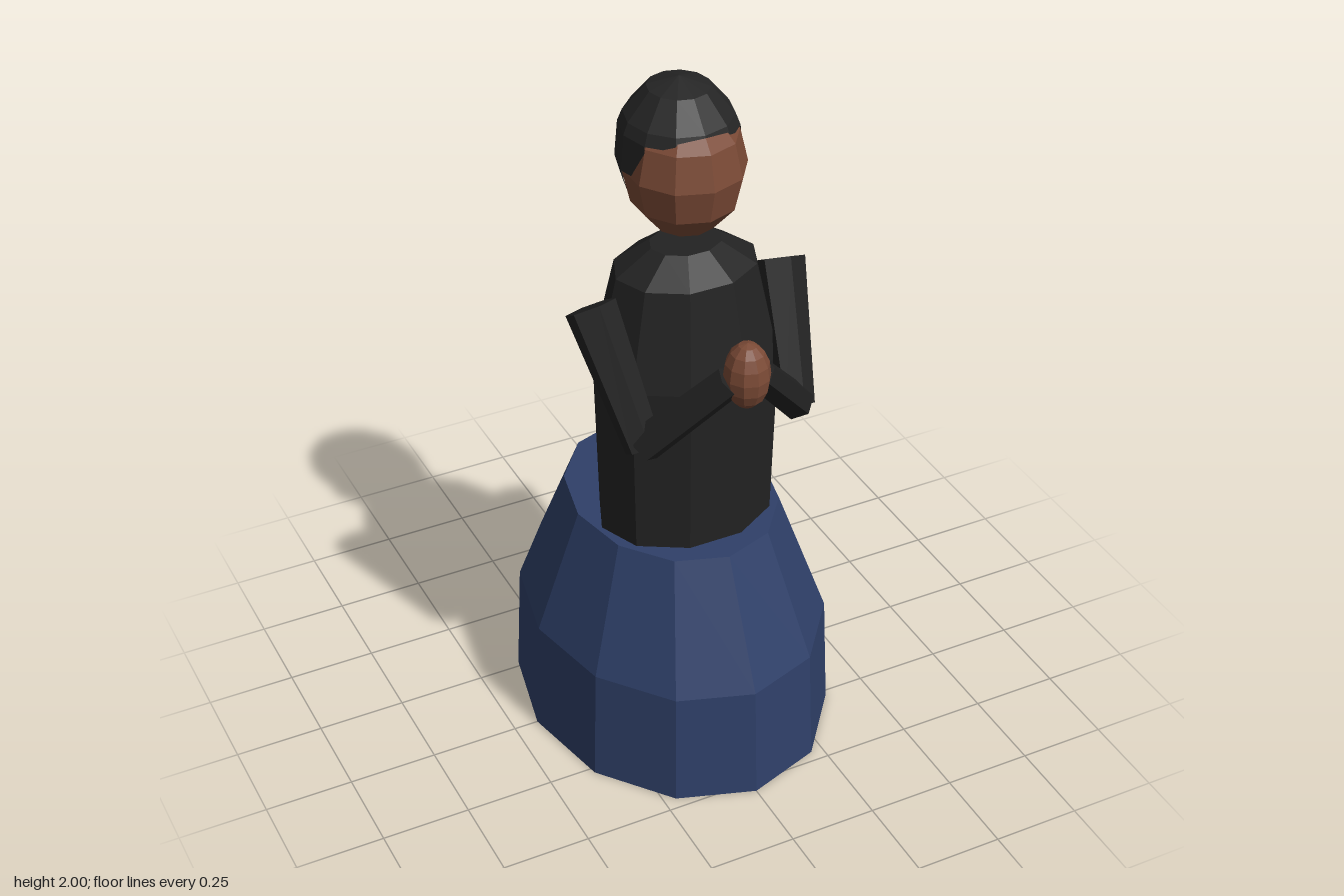
import * as THREE from 'three';

const flat = (name, color, extra = {}) => {
  const m = new THREE.MeshStandardMaterial({ color, flatShading: true, ...extra });
  m.name = name;
  return m;
};

export function createModel() {
  const group = new THREE.Group();
  const blue = flat('skirtBlue', 0x2f4069);
  const black = flat('blouseBlack', 0x222222);
  const hairBlack = flat('hairBlack', 0x252525, { side: THREE.DoubleSide });
  const skin = flat('skinBrown', 0x7b4a36);

  const add = (name, geometry, material, x = 0, y = 0, z = 0) => {
    const mesh = new THREE.Mesh(geometry, material);
    mesh.name = name;
    mesh.position.set(x, y, z);
    group.add(mesh);
    return mesh;
  };
  // Faceted elliptical body turned from a [radius, height] profile
  const turned = (profile, sides, depth, start = 0) =>
    new THREE.LatheGeometry(profile.map(([r, y]) => new THREE.Vector2(r, y)), sides, start)
      .scale(1, 1, depth);
  const ball = (rx, ry, rz, sides, rows) =>
    new THREE.SphereGeometry(1, sides, rows).rotateY(Math.PI / 2).scale(rx, ry, rz);

  // Wide oval skirt and narrower torso
  add('skirt', turned([[0, 0], [0.43, 0], [0.415, 0.34], [0.285, 0.7], [0, 0.7]], 12, 1.25), blue);
  add('torso', turned([[0, 0.69], [0.252, 0.69], [0.266, 1.2], [0.2, 1.48], [0.1, 1.545], [0, 1.545]],
    10, 0.79, Math.PI / 2), black, 0, 0, 0.085);

  // Arms bent forward, meeting at the clasped hands
  const limb = (name, from, to, r0, r1) => {
    const a = new THREE.Vector3(...from), b = new THREE.Vector3(...to);
    const dir = a.clone().sub(b);
    const mesh = add(name, new THREE.CylinderGeometry(r0, r1, dir.length(), 6), black);
    mesh.position.copy(a).add(b).multiplyScalar(0.5);
    mesh.quaternion.setFromUnitVectors(new THREE.Vector3(0, 1, 0), dir.normalize());
  };
  for (const [side, s] of [['left', 1], ['right', -1]]) {
    limb(side + 'UpperArm', [s * 0.275, 1.42, 0.09], [s * 0.225, 1.09, 0.295], 0.07, 0.05);
    limb(side + 'Forearm', [s * 0.225, 1.1, 0.295], [s * 0.04, 1.32, 0.42], 0.05, 0.044);
  }
  add('claspedHands', ball(0.062, 0.095, 0.064, 10, 8), skin, 0, 1.335, 0.433);

  // Head
  add('head', ball(0.162, 0.19, 0.167, 10, 6), skin, 0, 1.765, 0.08);

  // Hair cap: rings of an ellipsoid, ending higher around the face
  const rows = [2, 1.973, 1.9, 1.868, 1.77, 1.7];
  const ringPoint = (row, col) => {
    const t = (rows[row] - 1.8) / 0.2;
    const r = Math.sqrt(Math.max(0, 1 - t * t));
    const a = (col * Math.PI) / 6;
    return [0.165 * r * Math.sin(a), rows[row], 0.045 + 0.17 * r * Math.cos(a)];
  };
  const hair = [];
  for (let col = 0; col < 12; col++) {
    const fromFront = Math.min(col, 11 - col);
    const last = fromFront < 2 ? 3 : fromFront < 3 ? 4 : 5;
    for (let row = 0; row < last; row++) {
      const a = ringPoint(row, col), b = ringPoint(row + 1, col);
      const c = ringPoint(row + 1, col + 1), d = ringPoint(row, col + 1);
      hair.push(...a, ...b, ...c);
      if (row > 0) hair.push(...a, ...c, ...d);
    }
  }
  const hairGeometry = new THREE.BufferGeometry();
  hairGeometry.setAttribute('position', new THREE.Float32BufferAttribute(hair, 3));
  hairGeometry.computeVertexNormals();
  add('hairCap', hairGeometry, hairBlack);
  add('hairBun', ball(0.08, 0.08, 0.08, 10, 6), hairBlack, 0, 1.73, -0.085);

  return group;
}
